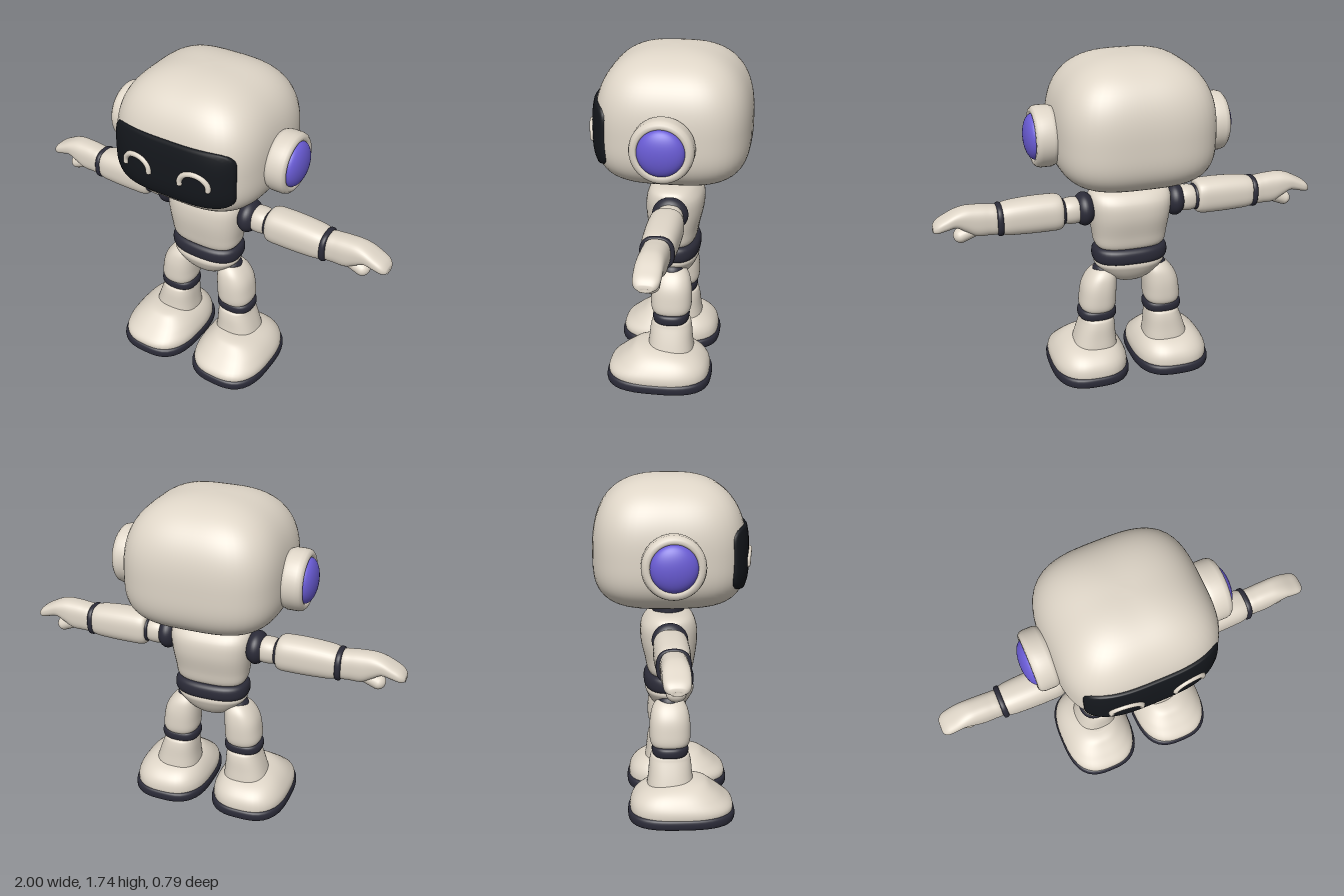
import * as THREE from 'three';

const paint = (color) => new THREE.MeshStandardMaterial({ color });
const shell = paint(0xded5c7), dark = paint(0x2b2b38), glass = paint(0x14171c), violet = paint(0x6a5cd6);

// Closed-ring surface: point(i, j) gives ring i, step j.
function skin(rings, steps, point) {
  const pos = [], index = [];
  for (let i = 0; i < rings; i++) {
    for (let j = 0; j < steps; j++) {
      pos.push(...point(i, j));
      if (i === rings - 1) continue;
      const a = i * steps + j, b = i * steps + (j + 1) % steps;
      index.push(a, a + steps, b + steps, a, b + steps, b);
    }
  }
  const geo = new THREE.BufferGeometry();
  geo.setAttribute('position', new THREE.Float32BufferAttribute(pos, 3));
  geo.setIndex(index);
  geo.computeVertexNormals();
  return geo;
}

// Unit rounded-square outline; e = 2 is a circle, larger is squarer.
function outline(angle, e) {
  const c = Math.cos(angle), s = Math.sin(angle);
  const r = (Math.abs(c) ** e + Math.abs(s) ** e) ** (-1 / e);
  return [c * r, s * r];
}

// Smooth solid through sections [t, halfA, halfB, centreA, centreB] along y or x.
function loft(sections, e = 2.5, axis = 'y', steps = 48) {
  const first = sections[0], last = sections[sections.length - 1];
  const cap = ([t, , , a, b]) => [t, 0, 0, a, b];
  const all = [cap(first), ...sections, cap(last)];
  const size = new THREE.CatmullRomCurve3(all.map((s) => new THREE.Vector3(s[0], s[1], s[2])));
  const mid = new THREE.CatmullRomCurve3(all.map((s) => new THREE.Vector3(s[0], s[3] || 0, s[4] || 0)));
  const rings = (all.length - 1) * 5 + 1;
  return skin(rings, steps, (i, j) => {
    const p = size.getPoint(i / (rings - 1)), m = mid.getPoint(i / (rings - 1));
    const [u, v] = outline(j / steps * Math.PI * 2, e);
    const a = m.y + Math.max(p.y, 0) * u, b = Math.max(p.z, 0) * v;
    return axis === 'y' ? [a, p.x, m.z + b] : [p.x, a, m.z - b];
  });
}

// Soft-edged ring or pad.
function band(t0, t1, ha, hb, ca = 0, cb = 0, e = 2.5, axis = 'y') {
  const d = (t1 - t0) * 0.22, r = Math.min(d, 0.02);
  return loft([
    [t0, ha - r, hb - r, ca, cb], [t0 + d, ha, hb, ca, cb],
    [t1 - d, ha, hb, ca, cb], [t1, ha - r, hb - r, ca, cb],
  ], e, axis);
}

function mirrored(geo) {
  const g = geo.clone().scale(-1, 1, 1), ix = g.index.array;
  for (let i = 0; i < ix.length; i += 3) [ix[i + 1], ix[i + 2]] = [ix[i + 2], ix[i + 1]];
  return g;
}

// Head: half widths shrink by headScale towards the crown and the chin.
const HX = 0.398, HZ = 0.38, HE = 3.3, HY = 1.35;
function headScale(y) {
  const [h, e] = y > HY ? [0.38, 2.6] : [0.27, 3.3];
  return Math.max(0, 1 - (Math.abs(y - HY) / h) ** e) ** (1 / e);
}
function headFront(x, y) {
  const k = headScale(y);
  return -0.005 + HZ * k * Math.max(0, 1 - (Math.abs(x) / (HX * k)) ** HE) ** (1 / HE);
}

export function createModel() {
  const model = new THREE.Group();
  const add = (name, geo, mat) => {
    const mesh = new THREE.Mesh(geo, mat);
    mesh.name = name;
    model.add(mesh);
  };
  const pair = (name, geo, mat) => {
    add(name + 'Left', geo, mat);
    add(name + 'Right', mirrored(geo), mat);
  };

  // Head
  add('head', skin(49, 72, (i, j) => {
    const c = -Math.cos(i / 48 * Math.PI), y = HY + c * (c > 0 ? 0.38 : 0.27);
    const k = headScale(y), [u, v] = outline(j / 72 * Math.PI * 2, HE);
    return [HX * k * u, y, -0.005 + HZ * k * v];
  }), shell);

  // Face screen wrapped over the front of the head
  add('faceScreen', skin(17, 96, (i, j) => {
    const r = i < 14 ? i / 13 * 0.97 : [0.99, 1, 1][i - 14];
    const lift = i < 14 ? 0.014 : [0.011, 0.004, -0.03][i - 14];
    const [u, v] = outline(j / 96 * Math.PI * 2, 6);
    const x = 0.333 * r * u, y = 1.345 + 0.156 * r * v;
    return [x, y, headFront(x, y) + lift];
  }), glass);

  // Smiling eye arcs with round tips
  const eyePoints = [];
  for (let i = 0; i <= 12; i++) {
    const a = (-0.04 + 1.08 * i / 12) * Math.PI;
    const x = 0.157 + 0.072 * Math.cos(a), y = 1.318 + 0.06 * Math.sin(a);
    eyePoints.push(new THREE.Vector3(x, y, headFront(x, y) + 0.014));
  }
  pair('eye', new THREE.TubeGeometry(new THREE.CatmullRomCurve3(eyePoints), 32, 0.014, 10), shell);
  for (const p of [eyePoints[0], eyePoints[12]]) {
    pair('eyeTip', new THREE.SphereGeometry(0.014, 12, 8).translate(p.x, p.y, p.z), shell);
  }

  // Ear pods
  const earProfile = [[0.13, 0.36], [0.146, 0.395], [0.152, 0.41], [0.152, 0.462], [0.147, 0.48],
    [0.135, 0.491], [0.12, 0.492], [0.113, 0.487], [0.108, 0.47]].map(([r, h]) => new THREE.Vector2(r, h));
  pair('earPod', new THREE.LatheGeometry(earProfile, 48).rotateZ(-Math.PI / 2).translate(0, 1.34, 0), shell);
  pair('earLens', new THREE.SphereGeometry(1, 40, 24).scale(0.05, 0.112, 0.112).translate(0.482, 1.34, 0), violet);

  // Neck, torso, waist and pelvis
  add('neck', new THREE.CylinderGeometry(0.095, 0.095, 0.1, 40).scale(1, 1, 0.84).translate(0, 1.065, -0.005), dark);
  add('torso', loft([
    [0.715, 0.155, 0.09], [0.735, 0.182, 0.113], [0.8, 0.194, 0.128], [0.9, 0.208, 0.145, 0, -0.004],
    [0.975, 0.213, 0.14, 0, -0.004], [1.015, 0.203, 0.117], [1.037, 0.165, 0.08],
  ], 2.8), shell);
  add('waist', band(0.638, 0.722, 0.195, 0.127, 0, -0.004), dark);
  add('pelvis', loft([
    [0.515, 0.035, 0.03], [0.53, 0.085, 0.065], [0.565, 0.135, 0.096], [0.605, 0.172, 0.118],
    [0.63, 0.187, 0.126], [0.65, 0.18, 0.12],
  ], 2.3), shell);

  // Legs
  pair('hipJoint', new THREE.SphereGeometry(0.062, 28, 18).scale(1, 0.75, 1).translate(0.137, 0.585, -0.005), dark);
  pair('thigh', loft([
    [0.37, 0.08, 0.087, 0.178, -0.005], [0.39, 0.094, 0.101, 0.178, -0.005], [0.45, 0.095, 0.105, 0.174, -0.005],
    [0.52, 0.089, 0.1, 0.165, -0.005], [0.57, 0.073, 0.085, 0.15, -0.005], [0.602, 0.048, 0.055, 0.136, -0.005],
  ], 2.4), shell);
  pair('kneeBand', band(0.322, 0.376, 0.1, 0.092, 0.18, -0.005), dark);
  pair('shin', loft([
    [0.08, 0.12, 0.122, 0.2, -0.005], [0.15, 0.12, 0.121, 0.199, -0.005], [0.22, 0.108, 0.113, 0.193, -0.005],
    [0.3, 0.091, 0.104, 0.182, -0.005], [0.325, 0.083, 0.093, 0.18, -0.005],
  ]), shell);

  // Feet
  pair('foot', loft([
    [0.045, 0.196, 0.258, 0.225, 0.05], [0.08, 0.2, 0.262, 0.225, 0.05], [0.125, 0.181, 0.228, 0.223, 0.035],
    [0.165, 0.146, 0.177, 0.22, 0.035], [0.192, 0.098, 0.115, 0.215, 0.06], [0.202, 0.05, 0.06, 0.212, 0.07],
  ], 2.7), shell);
  pair('sole', band(0, 0.056, 0.206, 0.272, 0.225, 0.05, 2.9), dark);

  // Arms, held out sideways
  pair('shoulder', new THREE.SphereGeometry(1, 36, 24).scale(0.056, 0.086, 0.09).translate(0.24, 0.938, -0.008), dark);
  pair('upperArm', band(0.25, 0.36, 0.063, 0.065, 0.938, -0.012, 2.3, 'x'), shell);
  pair('elbowBand', band(0.343, 0.375, 0.066, 0.068, 0.938, -0.012, 2.3, 'x'), dark);
  pair('forearm', loft([
    [0.357, 0.075, 0.071, 0.94, -0.012], [0.375, 0.087, 0.082, 0.94, -0.012], [0.45, 0.091, 0.086, 0.941, -0.012],
    [0.57, 0.088, 0.084, 0.94, -0.012], [0.645, 0.081, 0.078, 0.938, -0.012], [0.664, 0.073, 0.07, 0.938, -0.012],
  ], 2.6, 'x'), shell);
  pair('wristBand', band(0.659, 0.686, 0.081, 0.08, 0.936, -0.012, 2.5, 'x'), dark);

  // Mitten hands: drooping fingers above, thumb below
  pair('hand', loft([
    [0.678, 0.069, 0.06, 0.937, -0.012], [0.73, 0.076, 0.064, 0.941, -0.012], [0.79, 0.077, 0.065, 0.945, -0.012],
    [0.84, 0.062, 0.064, 0.959, -0.012], [0.885, 0.043, 0.063, 0.966, -0.012], [0.935, 0.035, 0.062, 0.95, -0.012],
    [0.975, 0.028, 0.056, 0.934, -0.012], [0.996, 0.014, 0.035, 0.924, -0.012],
  ], 2.7, 'x'), shell);
  pair('thumb', new THREE.CapsuleGeometry(0.037, 0.1, 10, 24).scale(1, 1, 1.2)
    .rotateZ(Math.PI / 2 - 0.38).translate(0.818, 0.892, -0.012), shell);

  return model;
}
